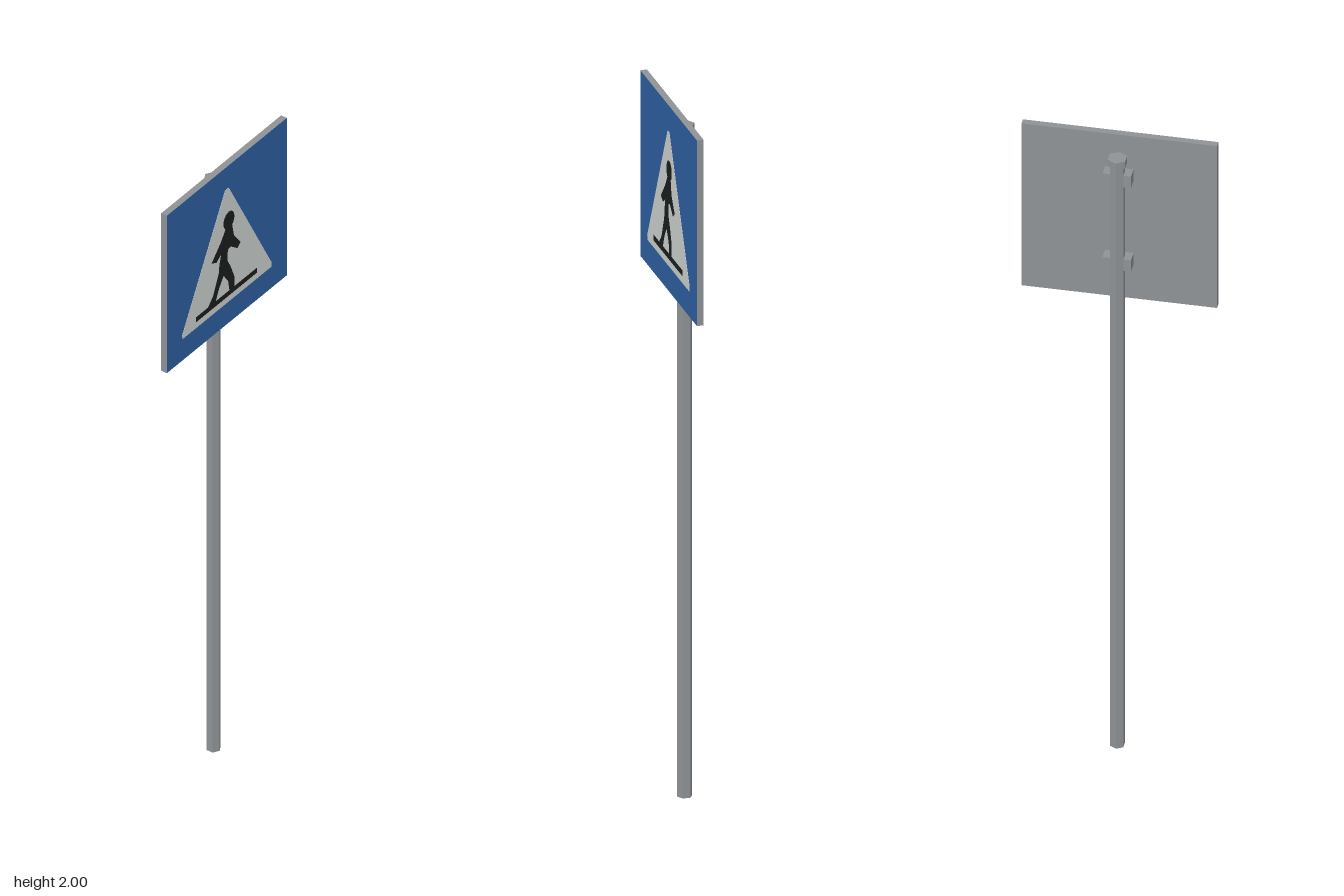
import * as THREE from 'three';

const paint = (name, color, flatShading = false) => {
  const m = new THREE.MeshStandardMaterial({ color, flatShading });
  m.name = name;
  return m;
};

export function createModel() {
  const group = new THREE.Group();
  const steel = paint('steel grey', 0x8f9396, true);
  const blue = paint('sign blue', 0x2f63a6);
  const white = paint('sign white', 0xd2d8d6);
  const black = paint('sign black', 0x1c1f1e);

  const add = (name, geometry, material, x, y, z) => {
    const mesh = new THREE.Mesh(geometry, material);
    mesh.name = name;
    mesh.position.set(x, y, z);
    group.add(mesh);
    return mesh;
  };

  // Six-sided post and its wider cap
  const postZ = -0.01;
  add('post', new THREE.CylinderGeometry(0.021, 0.021, 1.925, 6), steel, 0, 0.9625, postZ);
  add('postCap', new THREE.CylinderGeometry(0.0275, 0.0275, 0.022, 6), steel, 0, 1.931, postZ);

  // Clamps joining the post to the board
  for (const y of [1.872, 1.595]) {
    add('clamp', new THREE.BoxGeometry(0.078, 0.038, 0.035), steel, 0, y, -0.0015);
  }

  // Board: grey all round, blue on its front face
  const size = 0.536;
  add('signBoard', new THREE.BoxGeometry(size, size, 0.019),
    [steel, steel, steel, steel, blue, steel], 0, 2 - size / 2, 0.0255);

  // Thin painted plates stacked on the front face
  const front = 0.035;
  const plate = (name, points, material, layer) => {
    const shape = new THREE.Shape(points.map(([x, y]) => new THREE.Vector2(x, y)));
    const depth = 0.0007 * layer;
    add(name, new THREE.ExtrudeGeometry(shape, { depth, bevelEnabled: false }), material, 0, 0, front);
  };

  plate('whiteTriangle', [
    [-0.198, 1.537], [0.198, 1.537], [0.2, 1.55], [0.008, 1.925], [-0.008, 1.925], [-0.2, 1.55],
  ], white, 1);

  plate('groundLine', [[-0.138, 1.558], [0.133, 1.558], [0.133, 1.574], [-0.138, 1.574]], black, 2);

  // Walking figure: neck, right-hand arm, legs, left-hand arm
  plate('walkerBody', [
    [-0.005, 1.795], [0.021, 1.795], [0.03, 1.75], [0.06, 1.708], [0.045, 1.696], [0.016, 1.72],
    [0.003, 1.717], [0, 1.683], [0.016, 1.651], [0.032, 1.608], [0.032, 1.571], [0.011, 1.571],
    [0.005, 1.608], [-0.016, 1.64], [-0.037, 1.608], [-0.053, 1.571], [-0.088, 1.571],
    [-0.063, 1.598], [-0.037, 1.661], [-0.034, 1.688], [-0.026, 1.72], [-0.048, 1.704],
    [-0.069, 1.714], [-0.026, 1.762],
  ], black, 2);

  const head = [];
  for (let i = 0; i < 20; i++) {
    const a = (i / 20) * Math.PI * 2;
    head.push([0.008 + 0.024 * Math.cos(a), 1.814 + 0.029 * Math.sin(a)]);
  }
  plate('walkerHead', head, black, 2);

  return group;
}
